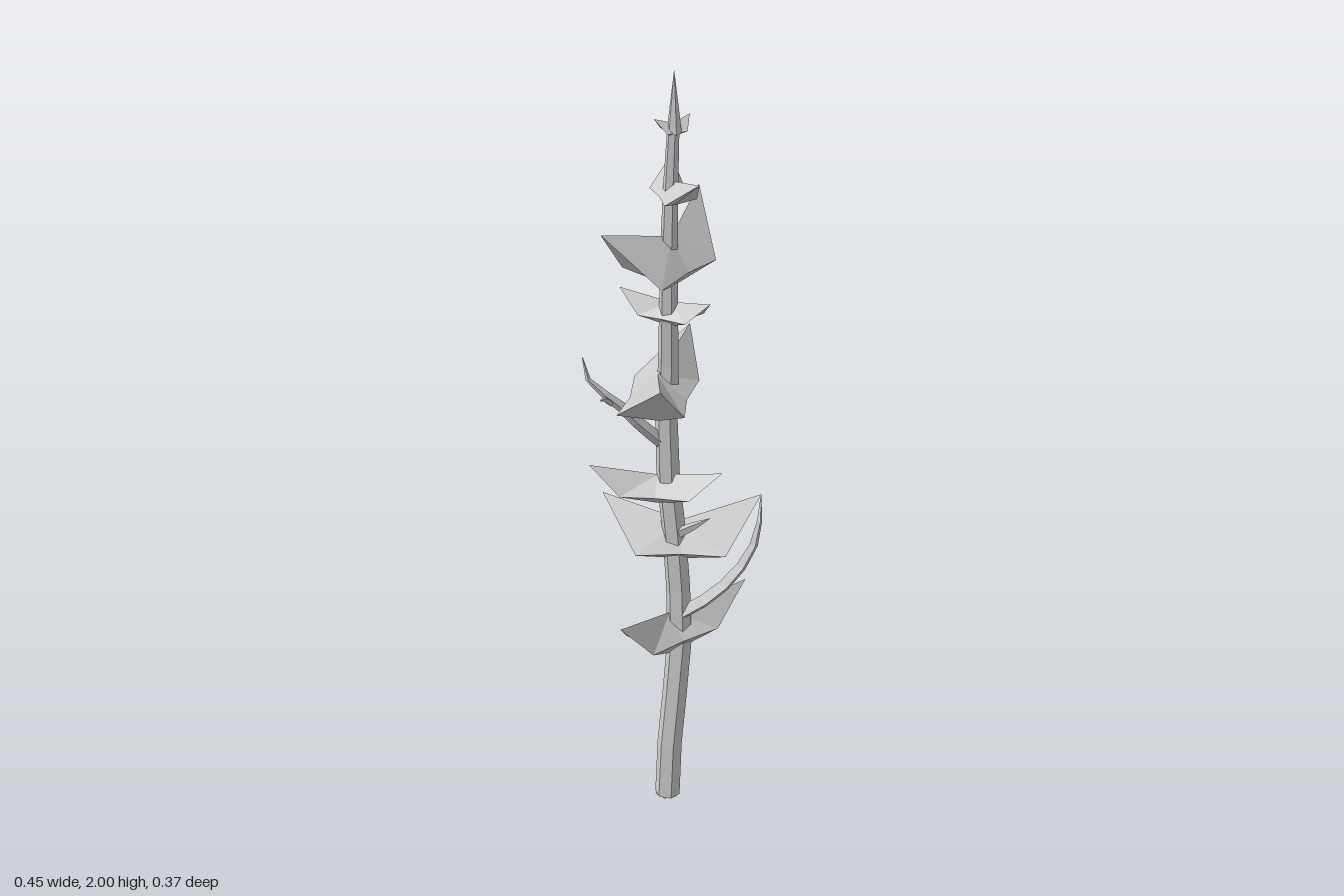
import * as THREE from 'three';

const V = (p) => new THREE.Vector3(...p);

// Tube along a path whose radius follows a list of evenly spaced values
function taperedTube(points, radii, segments, sides) {
  const curve = new THREE.CatmullRomCurve3(points.map(V));
  const geo = new THREE.TubeGeometry(curve, segments, 1, sides);
  const pos = geo.attributes.position;
  const v = new THREE.Vector3();
  for (let i = 0; i <= segments; i++) {
    const t = i / segments;
    const centre = curve.getPointAt(t);
    const f = t * (radii.length - 1);
    const k = Math.min(Math.floor(f), radii.length - 2);
    const r = THREE.MathUtils.lerp(radii[k], radii[k + 1], f - k);
    for (let j = 0; j <= sides; j++) {
      const n = i * (sides + 1) + j;
      v.fromBufferAttribute(pos, n).sub(centre).multiplyScalar(r).add(centre);
      pos.setXYZ(n, v.x, v.y, v.z);
    }
  }
  geo.computeVertexNormals();
  return geo;
}

// Faceted pair of leaves between tips a and b ([x, z]), closed around the stem.
// It bulges to one side by 0.63 and to the other by `inner` (in half lengths);
// `skew` slides the belly towards b.
function leafPair(a, b, bottom, top, inner, skew) {
  const mx = (a[0] + b[0]) / 2, mz = (a[1] + b[1]) / 2;
  const ux = (b[0] - a[0]) / 2, uz = (b[1] - a[1]) / 2;
  // along = towards b, out = towards the belly, h = height fraction
  const at = (along, out, h) => [
    mx + ux * along - uz * out,
    bottom + (top - bottom) * h,
    mz + uz * along + ux * out,
  ];
  const belly = 0.63;
  const middle = (belly - inner) / 2, half = (belly + inner) / 2;
  const corners = [
    at(-1, 0, 1), at(skew - 0.56, belly, 0.3), at(skew / 2, middle + half * 0.85, 0.3), at(skew + 0.56, belly, 0.3),
    at(1, 0, 1), at(0.52, -inner, 0.38), at(0, middle - half * 0.85, 0.36), at(-0.52, -inner, 0.38),
    at(0, middle, 0.7), // saddle at the stem
    at(0, middle, 0),   // keel
  ];
  const index = [];
  for (let i = 0; i < 8; i++) {
    const next = (i + 1) % 8;
    index.push(8, i, next, 9, next, i);
  }
  const geo = new THREE.BufferGeometry();
  geo.setAttribute('position', new THREE.Float32BufferAttribute(corners.flat(), 3));
  geo.setIndex(index);
  geo.computeVertexNormals();
  return geo;
}

export function createModel() {
  const group = new THREE.Group();
  const material = new THREE.MeshStandardMaterial({
    color: 0xcccccc, flatShading: true, side: THREE.DoubleSide,
  });
  const add = (name, geo) => {
    const mesh = new THREE.Mesh(geo, material);
    mesh.name = name;
    group.add(mesh);
    return mesh;
  };

  // Stem, slightly bent, with a closed foot
  add('stem', taperedTube([
    [-0.03, 0, -0.015], [-0.02, 0.2, -0.018], [0.005, 0.45, -0.022], [0, 0.7, -0.03],
    [-0.022, 1.0, -0.04], [-0.02, 1.25, -0.03], [-0.025, 1.45, -0.01],
    [-0.025, 1.65, 0], [-0.02, 1.87, 0.015],
  ], [0.033, 0.032, 0.032, 0.031, 0.03, 0.027, 0.023, 0.02, 0.014], 12, 6));
  const foot = add('stemFoot', new THREE.CircleGeometry(0.033, 6));
  foot.rotation.x = Math.PI / 2;
  foot.position.set(-0.03, 0.001, -0.015);

  // Pointed bud at the top
  const bud = add('topBud', new THREE.ConeGeometry(0.018, 0.15, 6));
  bud.position.set(-0.019, 1.925, 0.017);

  // Leaf pairs from the bottom up: tip, tip, bottom height, top height, inner bulge, skew
  [
    [[0.19, -0.045], [-0.185, 0.1], 0.425, 0.6, 0.04, -0.12],
    [[-0.155, -0.16], [0.225, -0.03], 0.69, 0.85, 0.12, 0],
    [[0.09, 0.06], [-0.21, -0.08], 0.86, 0.975, 0.15, 0],
    [[0.08, -0.175], [-0.105, 0.185], 1.105, 1.28, 0.2, -0.1],
    [[0.05, 0.08], [-0.125, -0.085], 1.35, 1.44, 0.15, 0],
    [[-0.21, 0.065], [0.105, -0.185], 1.455, 1.64, 0.05, -0.13],
    [[0.01, -0.1], [0.01, 0.118], 1.67, 1.755, 0.1, 0],
    [[-0.065, 0.01], [0.025, -0.005], 1.84, 1.885, 0.3, 0],
  ].forEach((leaf, i) => add(`leafPair${i + 1}`, leafPair(...leaf)));

  // Twigs: path and radii
  [
    [[[0.005, 0.55, -0.01], [0.1, 0.6, -0.005], [0.185, 0.7, 0], [0.21, 0.79, 0], [0.222, 0.85, -0.025]],
      [0.02, 0.019, 0.015, 0.01, 0.001]],
    [[[-0.02, 1.02, -0.04], [-0.09, 1.09, -0.035], [-0.16, 1.17, -0.035], [-0.21, 1.21, -0.045], [-0.227, 1.28, -0.058]],
      [0.018, 0.016, 0.013, 0.009, 0.001]],
    [[[-0.165, 1.16, -0.035], [-0.19, 1.19, 0], [-0.212, 1.21, 0.045]], [0.009, 0.006, 0.001]],
    [[[0, 0.78, -0.02], [0.025, 0.815, 0.02], [0.055, 0.86, 0.07]], [0.014, 0.01, 0.001]],
    [[[-0.015, 1.22, -0.03], [0.005, 1.28, -0.07], [0.028, 1.34, -0.115]], [0.012, 0.009, 0.001]],
  ].forEach(([path, radii], i) => add(`twig${i + 1}`, taperedTube(path, radii, path.length + 1, 4)));

  return group;
}
